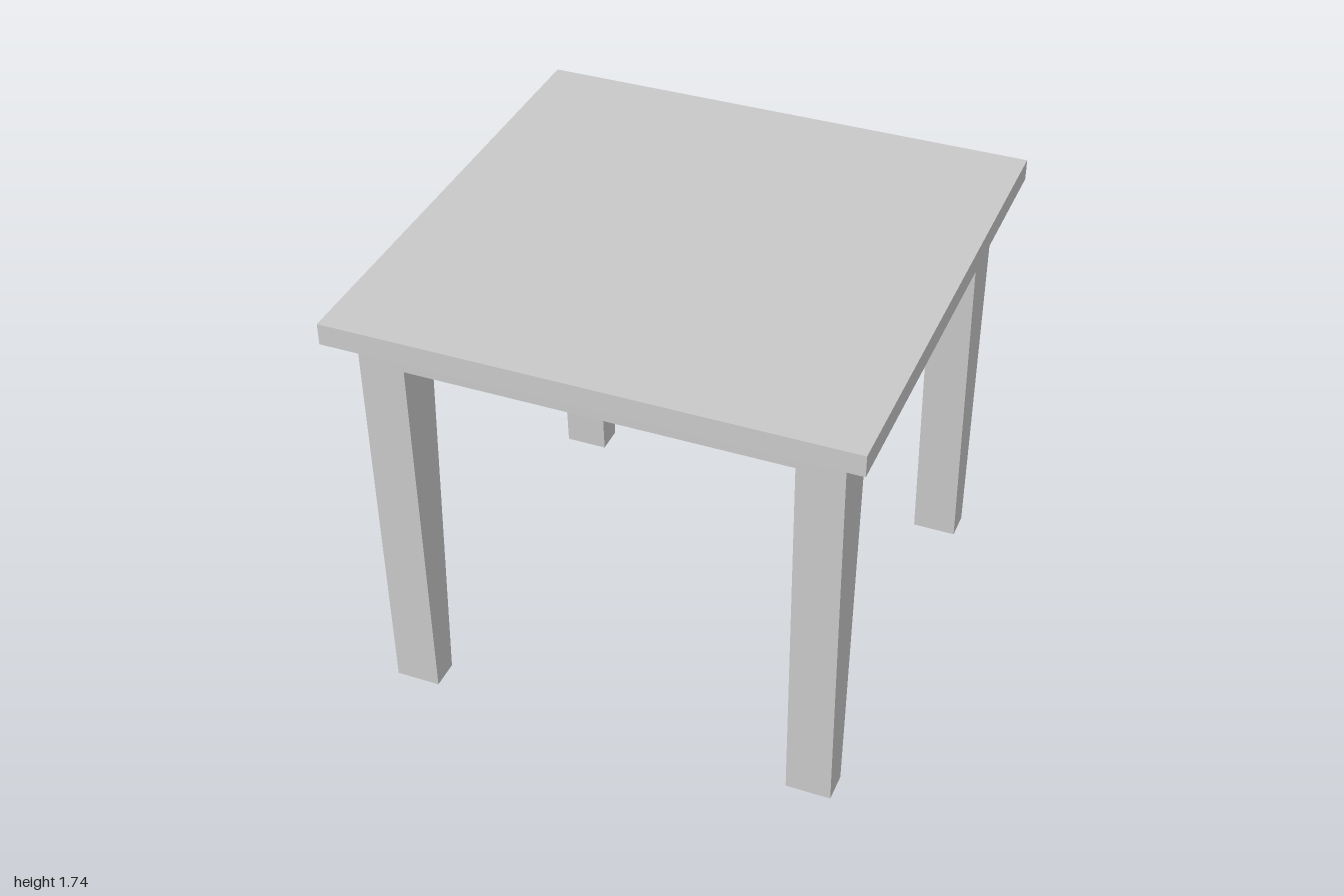
import * as THREE from 'three';

const material = new THREE.MeshStandardMaterial({ color: 0xcccccc, flatShading: true });

// Extrudes a [z, y] outline along x, centred on x = centre.
function extrudeAlongX(name, outline, width, centre = 0) {
  const shape = new THREE.Shape(outline.map(([z, y]) => new THREE.Vector2(z, y)));
  const geometry = new THREE.ExtrudeGeometry(shape, { depth: width, bevelEnabled: false });
  geometry.translate(0, 0, -width / 2).rotateY(-Math.PI / 2).translate(centre, 0, 0);
  const mesh = new THREE.Mesh(geometry, material);
  mesh.name = name;
  return mesh;
}

export function createModel() {
  const table = new THREE.Group();
  table.name = 'table';

  const topY = 1.74, apronTop = 1.655, apronBottom = 1.543, archY = 1.6;
  const outer = 0.907, legWidth = 0.177;

  // Square slab top
  const slab = new THREE.Mesh(new THREE.BoxGeometry(2, topY - apronTop, 2), material);
  slab.position.y = (topY + apronTop) / 2;
  slab.name = 'tableTop';
  table.add(slab);

  // Apron block with a shallow arched underside
  table.add(extrudeAlongX('apron', [
    [-outer, apronTop], [-outer + 0.002, apronBottom], [-0.695, apronBottom], [-0.40, archY],
    [0.465, archY], [0.695, apronBottom], [outer - 0.002, apronBottom], [outer, apronTop],
  ], outer * 2));

  // Four legs, tapered front to back only
  for (const sx of [1, -1]) {
    for (const sz of [1, -1]) {
      const name = `${sz > 0 ? 'front' : 'back'}${sx > 0 ? 'Left' : 'Right'}Leg`;
      const outline = [[0.695, apronBottom], [0.762, 0], [0.88, 0], [outer - 0.002, apronBottom]];
      table.add(extrudeAlongX(name, outline.map(([z, y]) => [z * sz, y]), legWidth, sx * (outer - legWidth / 2)));
    }
  }
  return table;
}
